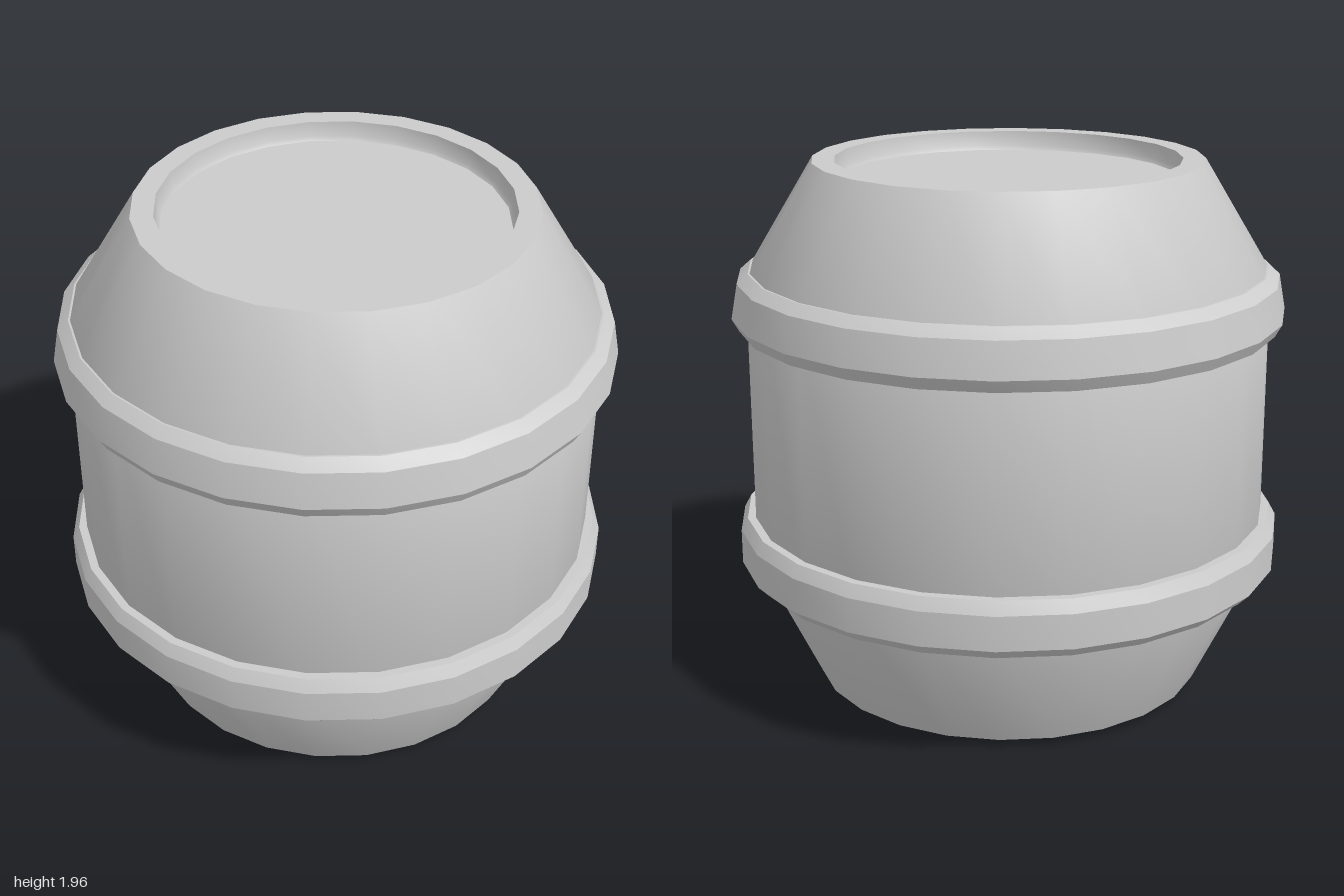
import * as THREE from 'three';
import { toCreasedNormals } from 'three/addons/utils/BufferGeometryUtils.js';

const SIDES = 24;

export function createModel() {
  const group = new THREE.Group();
  const material = new THREE.MeshStandardMaterial({ color: 0xcccccc });

  const add = (name, geometry) => {
    const mesh = new THREE.Mesh(geometry, material);
    mesh.name = name;
    group.add(mesh);
    return mesh;
  };

  // Revolve a [radius, height] profile, keeping only its strong edges sharp
  const turn = (name, profile, crease) => add(name, toCreasedNormals(
    new THREE.LatheGeometry(profile.map(([r, y]) => new THREE.Vector2(r, y)), SIDES), crease));

  // Flat round cap facing up (1) or down (-1)
  const disc = (name, radius, y, facing) => {
    const mesh = add(name, new THREE.CircleGeometry(radius, SIDES).rotateX(-facing * Math.PI / 2));
    mesh.position.y = y;
  };

  // Barrel wall, top rim and the inside of the lid recess
  turn('barrelBody', [
    [0.66, 0], [0.72, 0.03], [0.945, 0.5], [0.945, 1.55],
    [0.7, 1.955], [0.62, 1.955], [0.615, 1.9], [0.605, 1.885],
  ], 0.6);
  disc('bottom', 0.66, 0, -1);
  disc('lid', 0.605, 1.885, 1);

  // Two bevelled hoops
  turn('lowerHoop', [
    [0.91, 0.455], [0.96, 0.455], [1, 0.495], [1, 0.62], [0.975, 0.665], [0.94, 0.665],
  ], 0.45);
  turn('upperHoop', [
    [0.94, 1.37], [0.975, 1.37], [1, 1.415], [0.977, 1.54], [0.937, 1.575], [0.91, 1.575],
  ], 0.45);

  return group;
}
